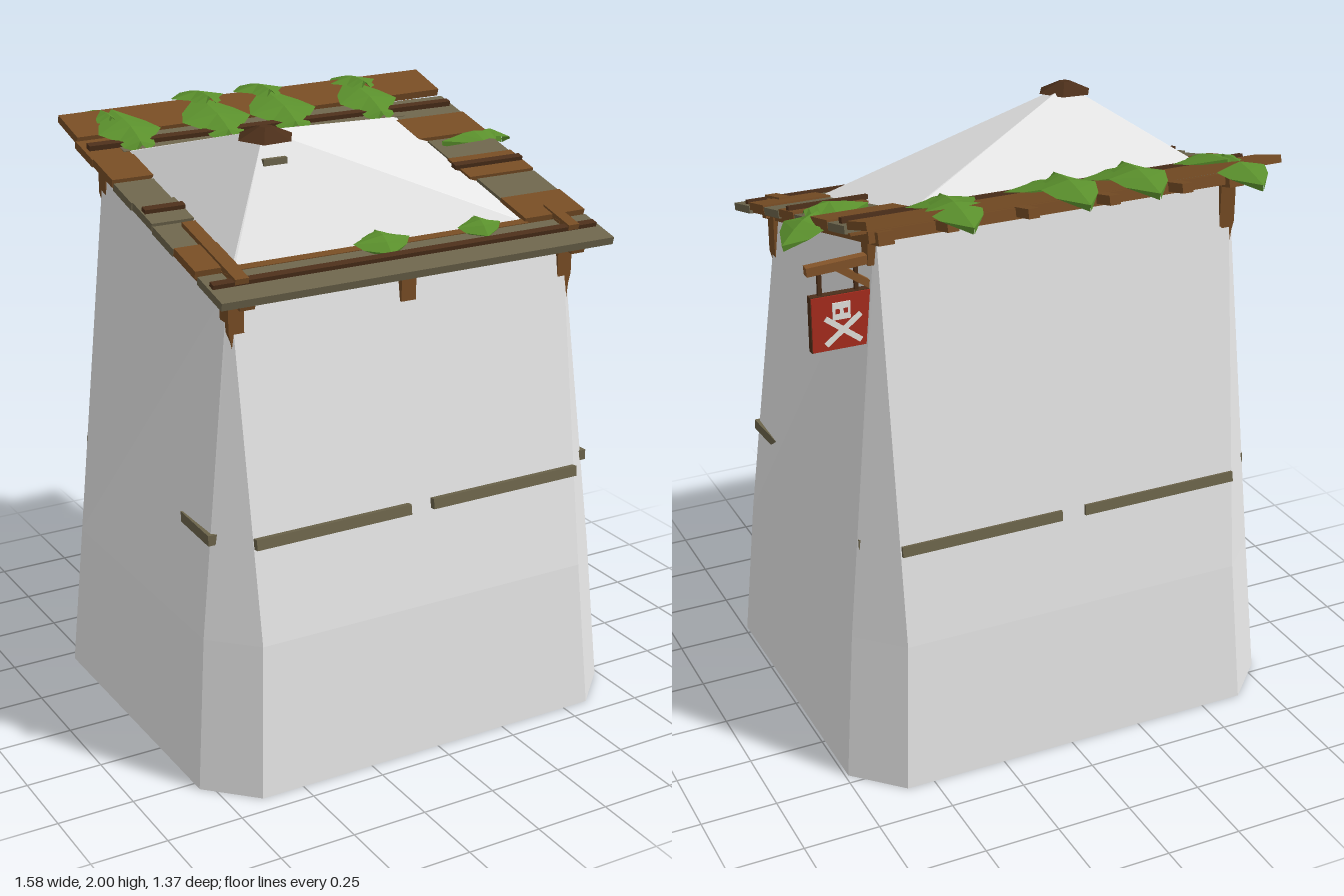
import * as THREE from 'three';

const mat = (name, color, side = THREE.FrontSide) => {
  const m = new THREE.MeshStandardMaterial({ color, flatShading: true, side });
  m.name = name;
  return m;
};
const M = {
  canvas: mat('canvas', 0xe6e6e6),
  weathered: mat('weathered wood', 0x6c644b),
  brown: mat('brown wood', 0x764c24),
  tan: mat('light wood', 0x85552a),
  dark: mat('dark wood', 0x4c2f1a),
  leaf: mat('leaf green', 0x5a8f2c, THREE.DoubleSide),
  red: mat('sign red', 0xa92c1e),
  white: mat('paint white', 0xe6e6e0),
};

const SLOPE = 0.25, TILT = Math.atan(SLOPE);
const roofY = z => 1.6 + (0.6 - z) * SLOPE;

function add(parent, name, geo, material, pos = [0, 0, 0], rot = [0, 0, 0]) {
  const m = new THREE.Mesh(geo, material);
  m.name = name;
  m.position.set(...pos);
  m.rotation.set(...rot);
  parent.add(m);
  return m;
}
const box = (parent, name, material, size, pos, rot) =>
  add(parent, name, new THREE.BoxGeometry(...size), material, pos, rot);

function triangles(pts) {
  const g = new THREE.BufferGeometry();
  g.setAttribute('position', new THREE.Float32BufferAttribute(pts.flat(), 3));
  g.computeVertexNormals();
  return g;
}

// Chamfered rectangle; height may depend on z
const ring = (xl, xr, zb, zf, c, y) => [
  [xl + c, zf], [xr - c, zf], [xr, zf - c], [xr, zb + c],
  [xr - c, zb], [xl + c, zb], [xl, zb + c], [xl, zf - c],
].map(([x, z]) => [x, y(z), z]);

// Tapered cloth walls, peaked top and wooden floor
function tent(group) {
  const rings = [
    ring(-0.79, 0.74, -0.607, 0.685, 0.147, () => 0),
    ring(-0.75, 0.70, -0.567, 0.645, 0.135, () => 0.5),
    ring(-0.625, 0.578, -0.41, 0.472, 0.006, z => roofY(z) - 0.045),
  ];
  const walls = [], peak = [], floor = [], apex = [-0.365, 1.985, 0.215];
  for (let i = 0; i < 8; i++) {
    const j = (i + 1) % 8;
    for (let r = 0; r < 2; r++) {
      const a = rings[r], b = rings[r + 1];
      walls.push(a[i], a[j], b[j], a[i], b[j], b[i]);
    }
    peak.push(rings[2][i], rings[2][j], apex);
    floor.push(rings[0][j], rings[0][i], [-0.025, 0, 0.04]);
  }
  add(group, 'walls', triangles(walls), M.canvas);
  add(group, 'peakedTop', triangles(peak), M.canvas);
  add(group, 'floor', triangles(floor), M.weathered);
}

// Board lying on the roof slope
function plank(group, name, x0, x1, z0, z1, material, lift = 0, t = 0.025) {
  const z = (z0 + z1) / 2;
  return box(group, name, material, [x1 - x0, t, (z1 - z0) / Math.cos(TILT)],
    [(x0 + x1) / 2, roofY(z) + lift, z], [TILT, 0, 0]);
}

// Folded leaf: rows of [distance, half width, lift] along its length
function leaf(group, x, z, y, width, length, yaw = 0, pitch = TILT) {
  const rows = [[-0.5, 0.01, -0.008], [-0.15, 0.38, 0.008], [0.1, 0.5, 0.014],
    [0.3, 0.28, 0.01], [0.42, 0.25, 0.004], [0.5, 0.1, 0]];
  const pts = [];
  for (let i = 0; i < rows.length - 1; i++) {
    for (const s of [-1, 1]) {
      const [a, b] = [rows[i], rows[i + 1]];
      const sa = [0, a[2] + 0.01, a[0] * length], sb = [0, b[2] + 0.01, b[0] * length];
      const ea = [s * a[1] * width, a[2] - 0.01, sa[2]], eb = [s * b[1] * width, b[2] - 0.01, sb[2]];
      if (s > 0) pts.push(sa, sb, eb, sa, eb, ea);
      else pts.push(sa, eb, sb, sa, ea, eb);
    }
  }
  const m = add(group, 'leaf', triangles(pts), M.leaf, [x, y, z]);
  m.rotation.set(pitch, yaw, 0, 'YXZ');
}

export function createModel() {
  const model = new THREE.Group();
  model.name = 'canvasTower';
  tent(model);

  // Side planks of the roof frame: z start, z end, left wood, right wood, inner edges
  const roof = new THREE.Group();
  roof.name = 'roofFrame';
  model.add(roof);
  const { weathered: W, brown: B } = M;
  [[-0.41, -0.275, B, W, -0.57, 0.42], [-0.27, -0.125, B, B, -0.58, 0.40],
    [-0.115, 0.015, W, W, -0.585, 0.43], [0.025, 0.16, W, B, -0.58, 0.42],
    [0.165, 0.305, W, W, -0.59, 0.445], [0.31, 0.45, B, B, -0.58, 0.44],
  ].forEach(([z0, z1, l, r, xl, xr], i) => {
    const lift = (i % 2) * 0.006;
    plank(roof, 'leftPlank', -0.72, xl, z0, z1, l, lift);
    plank(roof, 'rightPlank', xr, 0.67, z0, z1, r, lift);
  });
  // Brown boarding under the planks
  plank(roof, 'leftUnderboard', -0.71, -0.59, -0.41, 0.45, B, -0.014, 0.008);
  plank(roof, 'rightUnderboard', 0.45, 0.66, -0.41, 0.45, B, -0.014, 0.008);
  plank(roof, 'backUnderboard', -0.71, 0.66, -0.43, -0.31, B, -0.014, 0.008);
  // Front and back planks
  plank(roof, 'frontPlank', -0.715, 0.67, 0.455, 0.61, W, -0.008);
  plank(roof, 'frontInnerPlank', -0.58, 0.45, 0.428, 0.455, B, -0.006);
  plank(roof, 'backInnerPlank', -0.6, 0.45, -0.42, -0.3, W, 0.002);
  box(roof, 'backPlank', B, [1.385, 0.025, 0.152], [-0.025, 1.892, -0.487], [0.3, 0.02, 0]);
  // Dark battens across the top
  plank(roof, 'batten', -0.705, 0.655, -0.352, -0.328, M.dark, 0.018);
  plank(roof, 'batten', -0.705, 0.655, 0.513, 0.537, M.dark, 0.006);
  plank(roof, 'batten', -0.715, -0.58, 0.08, 0.104, M.dark, 0.02);
  plank(roof, 'batten', 0.40, 0.665, 0.08, 0.104, M.dark, 0.02);
  plank(roof, 'looseStick', -0.635, -0.59, 0.19, 0.54, B, 0.018, 0.018);
  plank(roof, 'looseStick', 0.545, 0.585, 0.40, 0.54, B, 0.016, 0.018);

  // Rafters and cross beams beneath the planks
  for (const x of [-0.61, 0.565]) plank(roof, 'rafter', x - 0.025, x + 0.025, -0.47, 0.57, B, -0.036, 0.04);
  for (const z of [-0.43, 0.487]) plank(roof, 'crossBeam', -0.66, 0.61, z - 0.015, z + 0.015, B, -0.03, 0.035);
  for (const x of [-0.4, -0.15, 0.12, 0.38]) plank(roof, 'joistEnd', x - 0.018, x + 0.018, -0.53, -0.4, B, -0.025, 0.03);

  // Corner posts ending in a splintered point
  for (const [x, z] of [[-0.61, -0.40], [-0.61, 0.465], [0.57, 0.465]]) {
    const shape = new THREE.Shape();
    shape.moveTo(-0.026, 0.06);
    [[-0.026, -0.13], [-0.004, -0.15], [0.008, -0.24], [0.018, -0.15], [0.026, -0.12], [0.026, 0.06]]
      .forEach(([px, py]) => shape.lineTo(px, py));
    const g = new THREE.ExtrudeGeometry(shape, { depth: 0.055, bevelEnabled: false });
    g.translate(0, 0, -0.0275);
    add(model, 'cornerPost', g, B, [x, roofY(z) - 0.05, z], [0, x < 0 ? Math.PI : 0, 0]);
  }
  box(model, 'signPost', B, [0.05, 0.12, 0.05], [0.575, 1.79, -0.385]);
  // Short pegs under the front edge
  for (const [x, w, h] of [[-0.02, 0.052, 0.15], [-0.22, 0.03, 0.08], [0.17, 0.03, 0.08]]) {
    box(model, 'frontPeg', w > 0.04 ? B : M.dark, [w, h, 0.03], [x, 1.62 - h / 2, 0.485]);
  }

  // Slats round the walls
  for (const [z, tilt] of [[0.6, -0.15], [-0.524, 0.15]]) {
    box(model, 'wallSlat', W, [0.545, 0.034, 0.03], [-0.342, 0.824, z], [tilt, 0, 0]);
    box(model, 'wallSlat', W, [0.55, 0.034, 0.03], [0.288, 0.824, z], [tilt, 0, 0]);
  }
  for (const s of [-1, 1]) {
    box(model, 'sideSlat', W, [0.03, 0.034, 0.21], [-0.025 + s * 0.681, 0.824, 0.405], [0, s * 0.045, 0]);
    box(model, 'sideSlatEnd', W, [0.03, 0.034, 0.015], [-0.025 + s * 0.676, 0.824, -0.425]);
  }
  box(model, 'peakSlat', W, [0.08, 0.02, 0.03], [-0.36, 1.9, 0.265]);

  // Cap on the peak
  add(model, 'peakCap', new THREE.CylinderGeometry(0.02, 0.092, 0.034, 6), M.dark, [-0.36, 1.98, 0.215], [0.04, Math.PI / 6, 0.03]);

  // Hanging sign with a crossed emblem on both faces
  const sign = new THREE.Group();
  sign.name = 'hangingSign';
  sign.position.set(0.685, 1.567, -0.385);
  model.add(sign);
  box(sign, 'signArm', M.tan, [0.21, 0.028, 0.03], [-0.005, 0.175, 0], [0, -0.06, -0.08]);
  box(sign, 'signBrace', M.tan, [0.14, 0.022, 0.02], [-0.05, 0.13, 0], [0, 0, 0.6]);
  for (const x of [-0.055, 0.06]) box(sign, 'signHanger', M.dark, [0.012, 0.09, 0.012], [x, 0.125, 0]);
  box(sign, 'signEdge', M.dark, [0.188, 0.176, 0.024], [0, 0, 0]);
  for (const s of [-1, 1]) {
    box(sign, 'signFace', M.red, [0.184, 0.172, 0.006], [0, 0, s * 0.013]);
    for (const a of [-0.65, 0.65]) box(sign, 'emblemBar', M.white, [0.14, 0.017, 0.004], [-0.005, -0.025, s * 0.017], [0, 0, a]);
    box(sign, 'emblemBlock', M.white, [0.056, 0.054, 0.004], [0, 0.036, s * 0.018]);
    for (const x of [-0.013, 0.013]) box(sign, 'emblemDot', M.red, [0.013, 0.015, 0.004], [x, 0.036, s * 0.0195]);
  }

  // Leaves lying along the back planks
  for (const [x, z, w, l] of [[-0.54, -0.405, 0.22, 0.25], [-0.22, -0.42, 0.25, 0.27],
    [0.03, -0.42, 0.25, 0.27], [0.36, -0.415, 0.225, 0.27]]) {
    leaf(model, x, z, roofY(z) + 0.034, w, l, 0, 0.32);
  }
  // Leaf tips hanging over the back edge
  for (const [x, y, w] of [[-0.57, 1.897, 0.18], [-0.215, 1.925, 0.19], [0.015, 1.925, 0.18], [0.385, 1.915, 0.18]]) {
    leaf(model, x, -0.565, y, w, 0.24, 0, -0.08);
  }
  // Front pair and right pair
  leaf(model, -0.09, 0.46, 1.652, 0.2, 0.115, Math.PI, -0.4);
  leaf(model, 0.27, 0.45, 1.65, 0.16, 0.1, Math.PI, -0.4);
  leaf(model, 0.565, -0.07, 1.793, 0.125, 0.21, Math.PI / 2, 0);
  leaf(model, 0.71, -0.145, 1.77, 0.15, 0.19, -1.0, -0.25);
  return model;
}
